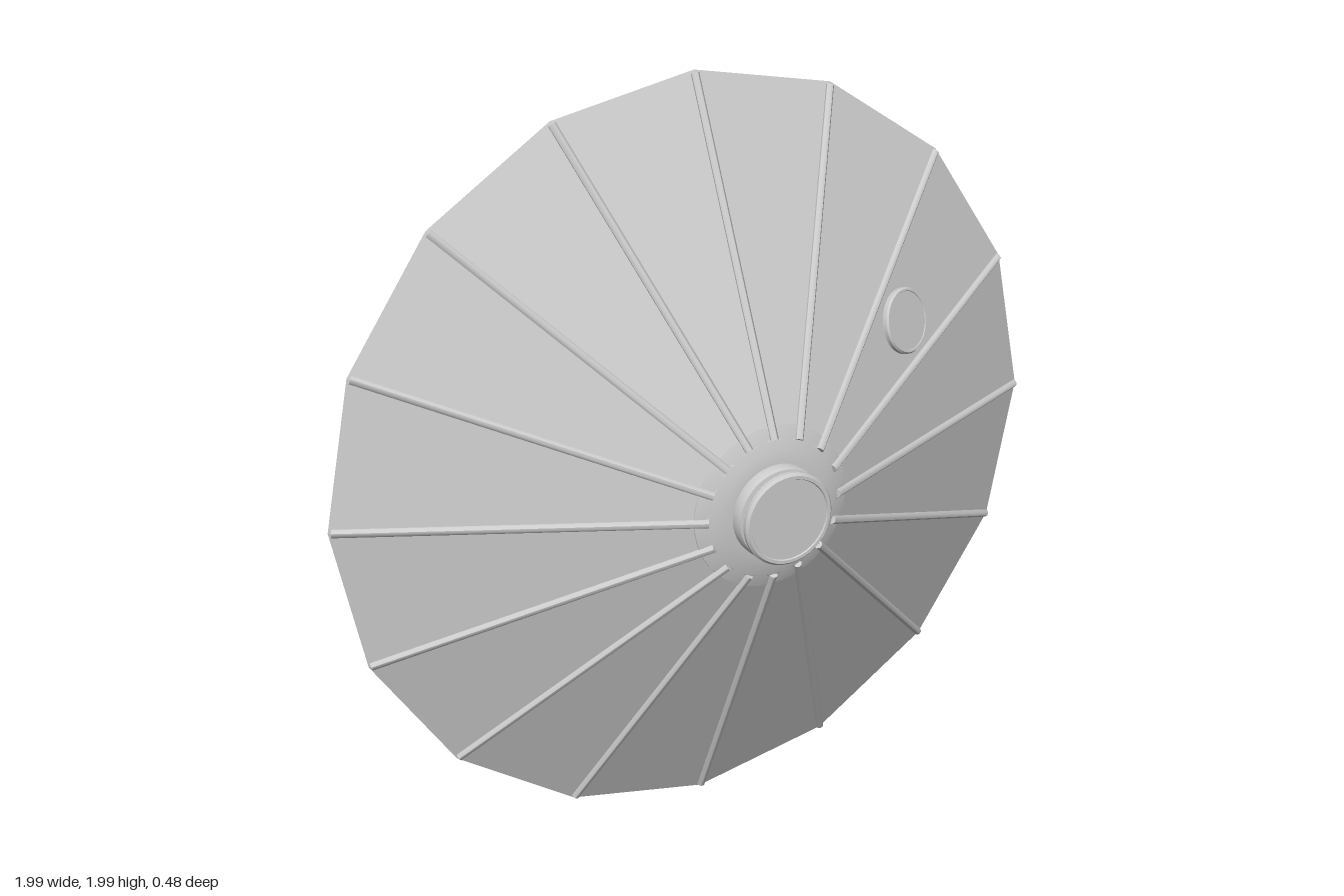
import * as THREE from 'three';
import { toCreasedNormals } from 'three/addons/utils/BufferGeometryUtils.js';

const SIDES = 16;
const RIM = { r: 0.997, z: -0.235 };
const INNER = { r: 0.18, z: 0.158 };
const SLOPE = (INNER.z - RIM.z) / (RIM.r - INNER.r);

const grey = (options = {}) => new THREE.MeshStandardMaterial({ color: 0xcccccc, ...options });

function addMesh(parent, name, geometry, material) {
  const mesh = new THREE.Mesh(geometry, material);
  mesh.name = name;
  parent.add(mesh);
  return mesh;
}

// Lathe turned so that its axis runs along z
function turned(points, segments) {
  const profile = points.map(([r, z]) => new THREE.Vector2(r, z));
  const geometry = new THREE.LatheGeometry(profile, segments).rotateX(Math.PI / 2);
  return toCreasedNormals(geometry, 0.5);
}

export function createModel() {
  const model = new THREE.Group();
  model.name = 'canopy';
  const body = new THREE.Group();
  body.name = 'canopyBody';
  body.position.y = 1;
  model.add(body);

  // Sixteen flat panels forming a thin open cone
  const depth = INNER.z - RIM.z;
  const cone = new THREE.CylinderGeometry(INNER.r, RIM.r, depth, SIDES, 1, true)
    .rotateX(Math.PI / 2)
    .translate(0, 0, (INNER.z + RIM.z) / 2);
  addMesh(body, 'panels', cone, grey({ flatShading: true, side: THREE.DoubleSide }));

  // Slim round ribs along the seams, seen inside and outside
  const ribRadius = 0.011;
  const start = new THREE.Vector3(INNER.r, 0, INNER.z);
  const end = new THREE.Vector3(RIM.r - 0.008, 0, RIM.z + 0.008 * SLOPE);
  const along = end.clone().sub(start);
  const ribGeometry = toCreasedNormals(
    new THREE.CylinderGeometry(ribRadius, ribRadius, along.length(), 8), 0.9);
  ribGeometry.applyQuaternion(new THREE.Quaternion().setFromUnitVectors(
    new THREE.Vector3(0, 1, 0), along.clone().normalize()));
  ribGeometry.translate(...start.clone().add(end).multiplyScalar(0.5).toArray());
  const ribMaterial = grey();
  for (let i = 0; i < SIDES; i++) {
    addMesh(body, 'rib', ribGeometry, ribMaterial).rotation.z = (i / SIDES) * Math.PI * 2;
  }

  // Hub: sloped collar, grooved cap in front, round recess behind
  const hub = turned([
    [0, 0.195], [0.118, 0.195], [0.118, 0.15], [0.14, 0.146], [0.212, 0.125],
    [0.212, 0.144], [0.155, 0.167], [0.121, 0.17], [0.121, 0.192], [0.117, 0.2],
    [0.106, 0.202], [0.106, 0.212], [0.116, 0.214], [0.12, 0.22], [0.12, 0.23],
    [0.114, 0.237], [0.106, 0.237], [0.104, 0.233], [0, 0.233],
  ], 40);
  addMesh(body, 'hub', hub, grey({ side: THREE.DoubleSide }));

  // Round button in the middle of one panel, lying flat against it
  const button = turned([
    [0, 0.001], [0.085, 0.001], [0.085, 0.012], [0.081, 0.017],
    [0.076, 0.017], [0.075, 0.015], [0, 0.015],
  ], 32);
  const apothem = Math.cos(Math.PI / SIDES);
  const angle = Math.PI * 3 / SIDES;
  const r = 0.595;
  const z = RIM.z + (RIM.r - r / apothem) * SLOPE;
  const tilt = SLOPE / apothem;
  const normal = new THREE.Vector3(Math.cos(angle) * tilt, Math.sin(angle) * tilt, 1).normalize();
  const disc = addMesh(body, 'button', button, grey({ side: THREE.DoubleSide }));
  disc.position.set(Math.cos(angle) * r, Math.sin(angle) * r, z);
  disc.quaternion.setFromUnitVectors(new THREE.Vector3(0, 0, 1), normal);

  return model;
}
